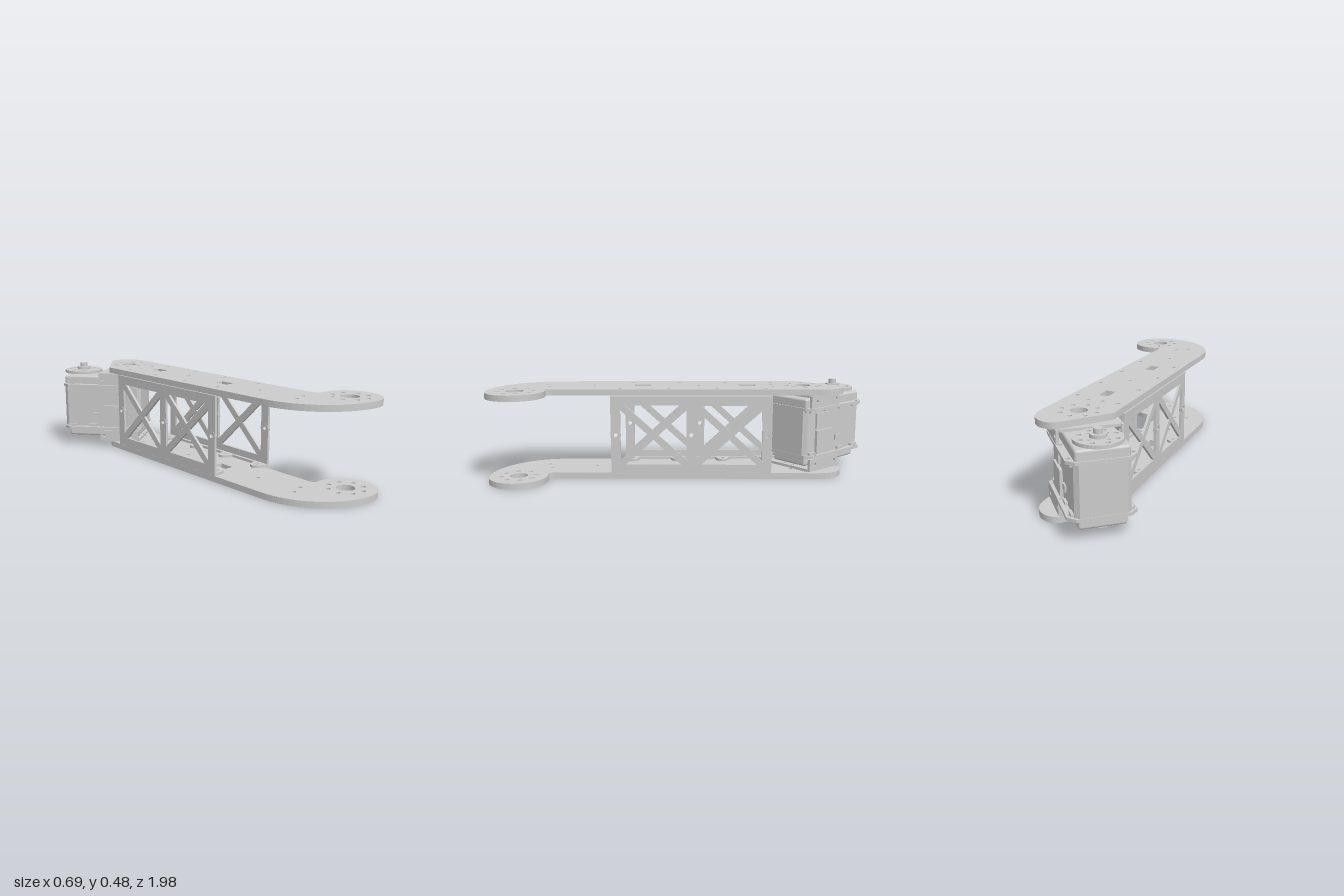
import * as THREE from 'three';
import { RoundedBoxGeometry } from 'three/addons/geometries/RoundedBoxGeometry.js';

const mat = new THREE.MeshStandardMaterial({ color: 0xcccccc });

function add(parent, name, geo, x = 0, y = 0, z = 0) {
  const m = new THREE.Mesh(geo, mat);
  m.name = name;
  m.position.set(x, y, z);
  parent.add(m);
  return m;
}

function circleHole(shape, x, y, r) {
  shape.holes.push(new THREE.Path().absarc(x, y, r, 0, Math.PI * 2, true));
}

function polyHole(shape, pts) {
  shape.holes.push(new THREE.Path(pts.map(p => new THREE.Vector2(...p))));
}

function ringHoles(shape, x, y, ring, r, n = 8, start = 0.25) {
  for (let i = 0; i < n; i++) {
    const a = start + (i * Math.PI * 2) / n;
    circleHole(shape, x + ring * Math.cos(a), y + ring * Math.sin(a), r);
  }
}

const extrude = (shape, depth) =>
  new THREE.ExtrudeGeometry(shape, { depth, bevelEnabled: false, curveSegments: 20 });

// Horizontal slab: shape drawn as (x, -z), thickness upwards
const slab = (shape, depth) => extrude(shape, depth).rotateX(-Math.PI / 2);

// Long hooked side plate of the link
function linkPlate() {
  const s = new THREE.Shape();
  s.moveTo(-0.157, 0.58);
  s.lineTo(-0.157, -0.64);
  s.bezierCurveTo(-0.157, -0.85, 0, -1.0, 0.195, -1.0);
  s.absarc(0.195, -0.85, 0.15, -Math.PI / 2, Math.PI * 0.58, false);
  s.quadraticCurveTo(0.138, -0.702, 0.14, -0.66);
  s.lineTo(0.165, 0.7);
  s.bezierCurveTo(0.165, 0.8, 0.1, 0.84, 0.05, 0.84);
  s.quadraticCurveTo(0.02, 0.84, 0, 0.81);
  s.lineTo(-0.145, 0.625);
  s.quadraticCurveTo(-0.157, 0.61, -0.157, 0.58);
  // Joint bores with bolt circles
  circleHole(s, 0.195, -0.85, 0.045);
  ringHoles(s, 0.195, -0.85, 0.088, 0.012);
  circleHole(s, 0.005, 0.635, 0.04);
  ringHoles(s, 0.005, 0.635, 0.087, 0.011, 8, 0);
  // Cable windows
  for (const [x, y] of [[0.005, 0.34], [-0.005, -0.213]])
    polyHole(s, [[x - 0.025, y - 0.043], [x - 0.025, y + 0.043], [x + 0.025, y + 0.043], [x + 0.025, y - 0.043]]);
  // Screw holes
  for (let i = 0; i < 4; i++) {
    circleHole(s, -0.11, 0.475 - i * 0.25, 0.011);
    circleHole(s, 0.128 - i * 0.004, 0.42 - i * 0.25, 0.011);
  }
  for (const [x, y] of [[0, 0.08], [-0.01, -0.47], [-0.03, 0.468], [0.045, 0.468], [-0.035, -0.73], [0.035, -0.705]])
    circleHole(s, x, y, 0.01);
  return slab(s, 0.031);
}

// Cross-braced channel: outer face at x = 0, tabs pointing to -x
function trussPanel(name) {
  const g = new THREE.Group();
  g.name = name;
  const y0 = 0.034, y1 = 0.44, mid = 0.237, t = 0.013, L = 0.415;
  const s = new THREE.Shape();
  s.moveTo(-L, y0); s.lineTo(L, y0); s.lineTo(L, y1); s.lineTo(-L, y1);
  const W = 0.17, H = 0.155, e = 0.024, f = (e * W) / H;
  const px = W - f, py = H - e;
  for (const c of [-0.195, 0.195]) {
    for (const k of [-1, 1]) {
      polyHole(s, [[c, mid + k * e], [c + px, mid + k * H], [c - px, mid + k * H]]);
      polyHole(s, [[c + k * f, mid], [c + k * W, mid + py], [c + k * W, mid - py]]);
    }
  }
  const bosses = [-0.39, 0, 0.39];
  bosses.forEach(b => circleHole(s, b, mid, 0.011));
  add(g, 'trussWeb', extrude(s, t)).rotation.y = -Math.PI / 2;
  // Screw bosses on the posts
  for (const b of bosses) {
    const r = new THREE.Shape().absarc(0, 0, 0.026, 0, Math.PI * 2);
    circleHole(r, 0, 0, 0.011);
    add(g, 'trussBoss', extrude(r, t + 0.004), 0.002, mid, b).rotation.y = -Math.PI / 2;
  }
  // Scalloped flanges with four screw tabs
  const fl = new THREE.Shape();
  fl.moveTo(0, -L); fl.lineTo(0, L); fl.lineTo(-0.03, L);
  for (let i = 0; i < 4; i++) {
    const y = 0.375 - i * 0.25;
    fl.lineTo(-0.03, y + 0.04);
    fl.lineTo(-0.052, y + 0.033);
    fl.absarc(-0.052, y, 0.033, Math.PI / 2, Math.PI * 1.5, false);
    fl.lineTo(-0.03, y - 0.04);
    circleHole(fl, -0.052, y, 0.011);
  }
  fl.lineTo(-0.03, -L);
  for (const y of [y0, y1 - t]) add(g, 'trussFlange', slab(fl, t), 0, y, 0);
  return g;
}

// Rectangle with cut corners, centred on the origin
function cutRect(hx, hy, c) {
  return new THREE.Shape([[-hx + c, -hy], [hx - c, -hy], [hx, -hy + c], [hx, hy - c],
    [hx - c, hy], [-hx + c, hy], [-hx, hy - c], [-hx, -hy + c]].map(p => new THREE.Vector2(...p)));
}

// Servo motor: local x is its length, the output shaft sits at -x
function servo() {
  const g = new THREE.Group();
  g.name = 'servo';
  const mid = 0.237, hornX = -0.145;
  add(g, 'servoBody', slab(cutRect(0.23, 0.124, 0.02), 0.25), 0, 0.112, 0);
  add(g, 'servoTopCap', new RoundedBoxGeometry(0.45, 0.075, 0.24, 2, 0.012), 0, 0.381, 0);
  add(g, 'servoBottomCap', new RoundedBoxGeometry(0.42, 0.075, 0.215, 2, 0.012), 0, 0.093, 0);
  for (const k of [-1, 1]) {
    // Mounting rim with screw holes and gripping ribs
    const rim = cutRect(0.232, 0.155, 0.035);
    for (const x of [-0.178, -0.008, 0.17])
      for (const z of [-0.138, 0.138]) circleHole(rim, x, z, 0.011);
    add(g, 'servoRim', slab(rim, 0.015), 0, mid + k * 0.126 - 0.0075, 0);
    for (const x of [-0.18, -0.06, 0.06, 0.18])
      for (const z of [-0.127, 0.127])
        add(g, 'servoRib', new THREE.BoxGeometry(0.05, 0.014, 0.02), x, mid + k * 0.112, z);

    // Mounting bracket joining the servo to the link plate
    const top = cutRect(0.115, 0.15, 0.015);
    circleHole(top, 0.02, 0, 0.04);
    ringHoles(top, 0.02, 0, 0.08, 0.01);
    add(g, 'bracketPlate', slab(top, 0.013), 0.105, mid + k * 0.196 - 0.0065, 0);
    for (const z of [-1, 1]) {
      const wall = new THREE.Shape();
      wall.moveTo(-0.115, -0.032); wall.lineTo(0.115, -0.032);
      wall.lineTo(0.115, 0.032); wall.lineTo(-0.115, 0.032);
      for (const x of [-0.09, 0.07]) circleHole(wall, x, 0, 0.009);
      add(g, 'bracketWall', extrude(wall, 0.014), 0.105, mid + k * 0.168, z * 0.146 - 0.007);
    }
  }

  // Output horn, hub and shaft cap
  const horn = new THREE.Shape().absarc(0, 0, 0.11, 0, Math.PI * 2);
  ringHoles(horn, 0, 0, 0.085, 0.011);
  ringHoles(horn, 0, 0, 0.058, 0.008, 4, 0.6);
  add(g, 'hornDisc', slab(horn, 0.016), hornX, 0.425, 0);
  add(g, 'hornHub', new THREE.CylinderGeometry(0.038, 0.038, 0.02, 32), hornX, 0.447, 0);
  add(g, 'shaftCap', new THREE.CylinderGeometry(0.021, 0.021, 0.03, 24), hornX, 0.465, 0);

  // Idler bearing on the underside
  const ring = new THREE.Shape().absarc(0, 0, 0.05, 0, Math.PI * 2);
  circleHole(ring, 0, 0, 0.025);
  add(g, 'idlerRing', slab(ring, 0.012), hornX, 0.046, 0);
  add(g, 'idlerScrew', new THREE.CylinderGeometry(0.017, 0.017, 0.01, 6), hornX, 0.052, 0);

  // Connector housings on both long sides
  for (const z of [-0.124, 0.124]) {
    add(g, 'connectorHousing', new THREE.BoxGeometry(0.14, 0.13, 0.03), 0.08, 0.18, z);
    add(g, 'connectorCover', new THREE.BoxGeometry(0.1, 0.08, 0.02), 0.1, 0.297, z);
    add(g, 'sideStud', new THREE.BoxGeometry(0.045, 0.03, 0.016), -0.04, 0.185, z);
  }
  return g;
}

export function createModel() {
  const model = new THREE.Group();
  model.name = 'robotArmLink';

  const plate = linkPlate();
  add(model, 'lowerPlate', plate);
  add(model, 'upperPlate', plate, 0, 0.441, 0);

  const left = trussPanel('leftTruss');
  left.position.set(0.176, 0, -0.04);
  left.rotation.y = -0.02;
  const right = trussPanel('rightTruss');
  right.position.set(-0.163, 0, -0.095);
  right.rotation.y = Math.PI;
  model.add(left, right);

  const motor = servo();
  motor.position.set(-0.095, 0, -0.726);
  motor.rotation.y = -0.863;
  model.add(motor);
  return model;
}
